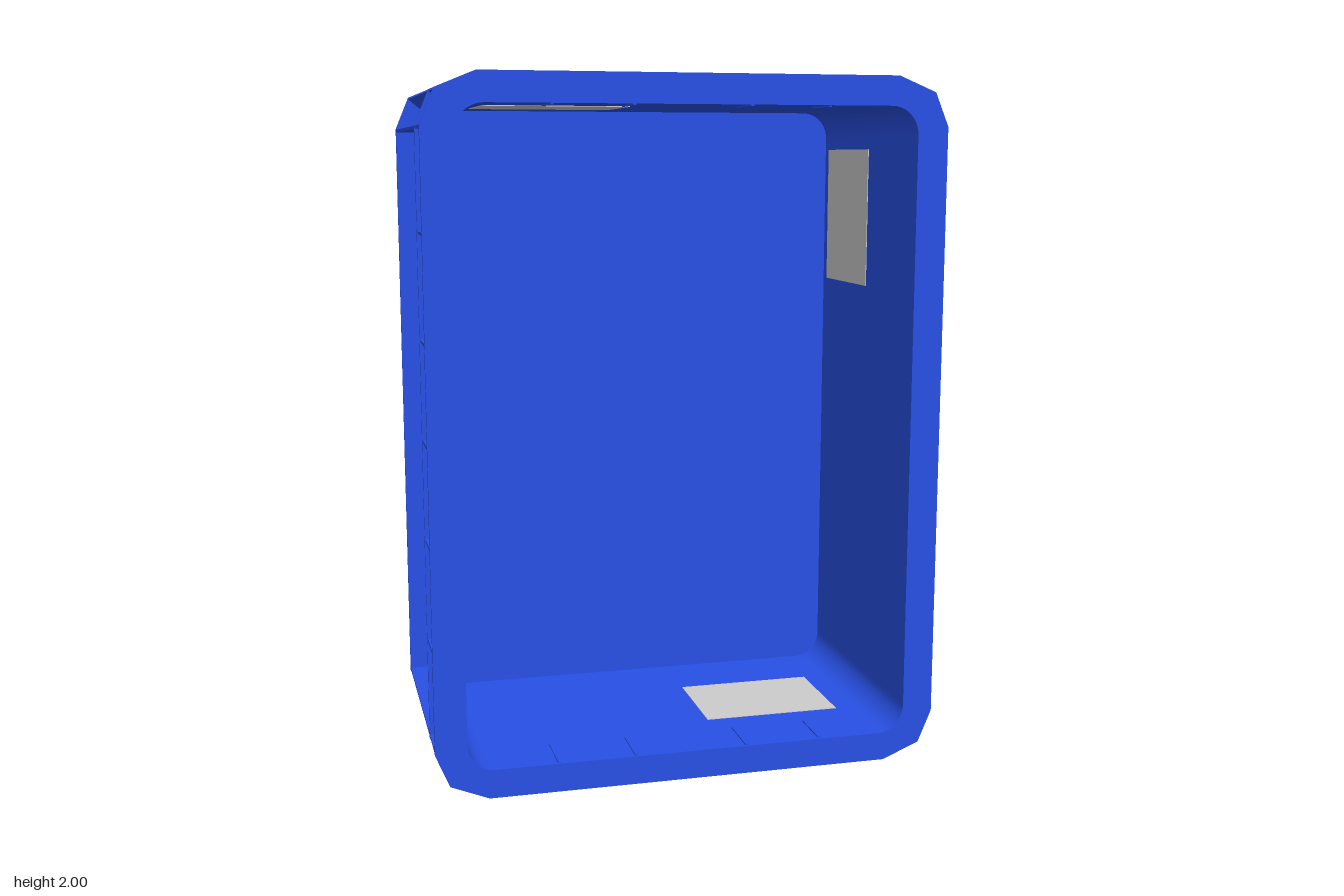
import * as THREE from 'three';

const W = 0.74, H = 1;          // outer half width and half height
const IW = 0.65, IH = 0.917;    // inner half width and half height
const R = 0.08;                 // inner corner radius
const T = 0.008;                // wall thickness
const BACK = -0.375, FRONT = 0.38, MID = 0.233;

const blue = new THREE.MeshStandardMaterial({ color: 0x2850e5 });
const grey = new THREE.MeshStandardMaterial({ color: 0xcccccc });

// Outer outline with two-step chamfered corners
function outerShape() {
  const c = [[W, H - 0.14], [0.7, H - 0.045], [0.59, H]];
  const flip = (sx, sy) => c.map(([x, y]) => new THREE.Vector2(sx * x, sy * y));
  return new THREE.Shape([
    ...flip(1, 1), ...flip(-1, 1).reverse(), ...flip(-1, -1), ...flip(1, -1).reverse(),
  ]);
}

// Rounded rectangle
function rounded(target, w, h, r) {
  target.moveTo(w, -h + r);
  target.lineTo(w, h - r);
  target.absarc(w - r, h - r, r, 0, Math.PI / 2);
  target.lineTo(-w + r, h);
  target.absarc(-w + r, h - r, r, Math.PI / 2, Math.PI);
  target.lineTo(-w, -h + r);
  target.absarc(-w + r, -h + r, r, Math.PI, Math.PI * 1.5);
  target.lineTo(w - r, -h);
  target.absarc(w - r, -h + r, r, Math.PI * 1.5, Math.PI * 2);
  return target;
}

export function createModel() {
  const crate = new THREE.Group();
  crate.name = 'crate';
  crate.position.y = H;

  function add(name, geometry, material = blue) {
    const mesh = new THREE.Mesh(geometry, material);
    mesh.name = name;
    crate.add(mesh);
    return mesh;
  }

  function slab(name, shape, z, depth) {
    add(name, new THREE.ExtrudeGeometry(shape, { depth, bevelEnabled: false, curveSegments: 6 }))
      .position.z = z;
  }

  // Thin fin from one point to another in the front plane, running along z
  function rib(name, x1, y1, x2, y2, z1, z2) {
    const mesh = add(name, new THREE.BoxGeometry(Math.hypot(x2 - x1, y2 - y1), T, z2 - z1));
    mesh.position.set((x1 + x2) / 2, (y1 + y2) / 2, (z1 + z2) / 2);
    mesh.rotation.z = Math.atan2(y2 - y1, x2 - x1);
  }

  function box(name, x1, x2, y1, y2, z1, z2, material) {
    add(name, new THREE.BoxGeometry(x2 - x1, y2 - y1, z2 - z1), material)
      .position.set((x1 + x2) / 2, (y1 + y2) / 2, (z1 + z2) / 2);
  }

  // Base plate, recessed wall shell and the two flanges
  slab('basePlate', outerShape(), BACK, T);

  const shell = rounded(new THREE.Shape(), IW + T, IH + T, R + T);
  shell.holes.push(rounded(new THREE.Path(), IW, IH, R));
  slab('wallShell', shell, BACK + T / 2, FRONT - BACK - T);

  for (const [name, z, depth] of [['rimFlange', FRONT - 0.012, 0.012], ['lowerFlange', MID, 0.01]]) {
    const flange = outerShape();
    flange.holes.push(rounded(new THREE.Path(), IW, IH, R));
    slab(name, flange, z, depth);
  }

  // Three full-depth ribs at every corner
  const z1 = BACK + T / 2, z2 = FRONT - 0.006;
  for (const sx of [-1, 1]) {
    for (const sy of [-1, 1]) {
      rib('cornerRib', sx * 0.585, sy * IH, sx * 0.585, sy * (H - 0.001), z1, z2);
      rib('cornerRib', sx * 0.627, sy * 0.895, sx * 0.698, sy * 0.953, z1, z2);
      rib('cornerRib', sx * IW, sy * 0.855, sx * (W - 0.001), sy * 0.855, z1, z2);
    }
  }

  // Short ribs between the flanges, barely showing inside
  for (const s of [-1, 1]) {
    for (const x of [-0.39, -0.165, 0.165, 0.39]) {
      rib('rimRib', x, s * (IH - 0.004), x, s * (H - 0.002), MID, z2);
    }
    for (const y of [-0.57, -0.28, 0, 0.28, 0.575]) {
      rib('rimRib', s * IW, y, s * (W - 0.002), y, MID, z2);
    }
  }

  // Faint raised cross under the base
  for (const [half, turn] of [[0.5, 0], [0.27, Math.PI / 2]]) {
    const arc = new THREE.Shape();
    arc.moveTo(-half, 0);
    arc.quadraticCurveTo(0, 0.016, half, 0);
    const geometry = new THREE.ExtrudeGeometry(arc, { depth: 0.004, bevelEnabled: false, curveSegments: 6 });
    geometry.translate(0, 0, -0.002).rotateX(-Math.PI / 2).rotateZ(turn);
    add('baseCross', geometry).position.z = BACK;
  }

  // Label panels, one set through each wall
  const e = 0.002;
  box('rightLabel', IW - e, IW + T + e, 0.385, 0.8, -0.335, 0.01, grey);
  box('leftLabel', -IW - T - e, -IW + e, -0.745, -0.325, -0.335, 0.01, grey);
  box('topLabel', -0.545, -0.13, IH - e, IH + T + e, -0.135, 0.165, grey);
  box('bottomLabel', 0.11, 0.525, -IH - T - e, -IH + e, -0.15, 0.15, grey);

  const model = new THREE.Group();
  model.name = 'storageCrate';
  model.add(crate);
  return model;
}
